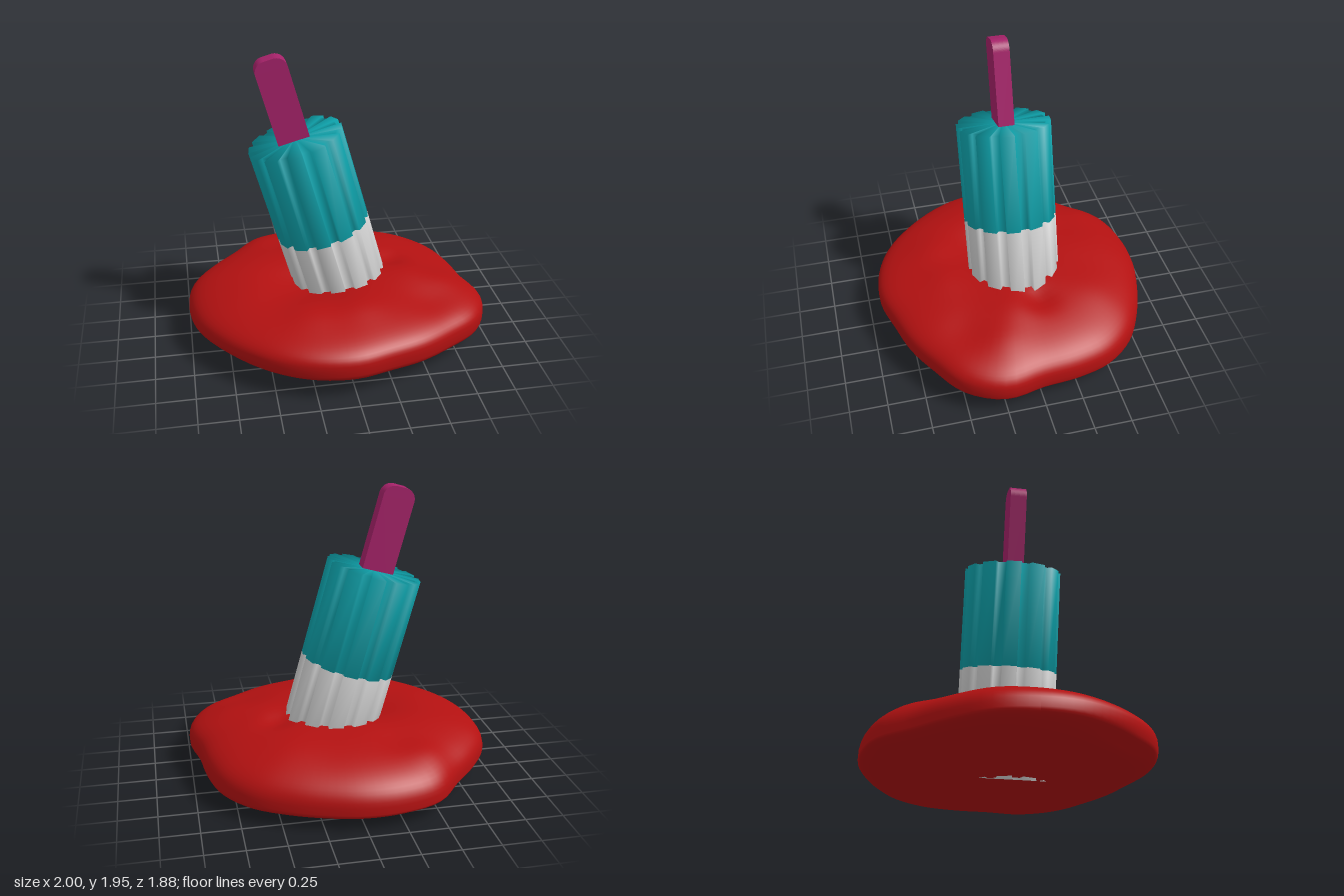
import * as THREE from 'three';
import { mergeVertices } from 'three/addons/utils/BufferGeometryUtils.js';

const mat = (color) => new THREE.MeshStandardMaterial({ color });

function add(parent, name, geometry, color) {
  const mesh = new THREE.Mesh(geometry, mat(color));
  mesh.name = name;
  parent.add(mesh);
  return mesh;
}

// Shared vertices give soft normals across the whole surface
function soften(geometry) {
  geometry.deleteAttribute('normal');
  geometry.deleteAttribute('uv');
  const merged = mergeVertices(geometry, 1e-4);
  merged.computeVertexNormals();
  return merged;
}

// Puddle outline: radius every 15 degrees, from +x towards +z
const OUTLINE = [0.95, 1.035, 1.03, 0.955, 0.92, 0.9, 0.93, 0.94, 0.94, 0.935, 0.95, 0.98,
  1.0, 1.01, 0.965, 0.94, 0.985, 0.965, 0.94, 0.92, 0.93, 0.96, 0.97, 0.95];

function outlineRadius(angle) {
  const n = OUTLINE.length;
  const t = ((angle / (2 * Math.PI)) * n + n) % n;
  const i = Math.floor(t), f = t - i;
  const [a, b, c, d] = [-1, 0, 1, 2].map((k) => OUTLINE[(i + k + n) % n]);
  return b + 0.5 * f * (c - a + f * (2 * a - 5 * b + 4 * c - d + f * (3 * (b - c) + d - a)));
}

// Soft lumps and hollows of the upper side: x, z, width, height
const LUMPS = [
  [-0.2, 0.1, 0.28, -0.08], [0.42, -0.1, 0.1, -0.035], [0.5, 0.1, 0.15, 0.02],
  [-0.25, 0.52, 0.17, 0.025], [0.1, 0.5, 0.15, 0.02], [0.42, -0.5, 0.2, 0.02],
  [-0.5, -0.65, 0.15, 0.03], [-0.3, -0.5, 0.15, -0.02], [0.6, 0.45, 0.15, -0.025],
  [0.72, 0.2, 0.14, 0.02], [-0.6, 0.2, 0.2, 0.01],
];

function puddleGeometry() {
  const geo = new THREE.SphereGeometry(1, 96, 48);
  const pos = geo.attributes.position;
  for (let i = 0; i < pos.count; i++) {
    const h = pos.getY(i);
    const s = Math.hypot(pos.getX(i), pos.getZ(i));
    const angle = Math.atan2(pos.getZ(i), pos.getX(i));
    // Groove under the rim on one front corner
    const away = angle - 2.4;
    const groove = 0.05 * Math.exp(-(away * away) / 0.2 - ((h + 0.3) / 0.18) ** 2);
    const r = s * outlineRadius(angle) * (1 - groove);
    const x = r * Math.cos(angle), z = r * Math.sin(angle);
    const rim = 0.175 + 0.06 * z;
    let y;
    if (h >= 0) {
      y = rim + (0.445 - rim) * Math.pow(h, 0.72);
      for (const [lx, lz, w, a] of LUMPS) {
        y += a * h * Math.exp(-((x - lx) ** 2 + (z - lz) ** 2) / (w * w));
      }
    } else {
      // The underside curves up more gently towards the back right
      const power = 0.52 + 0.35 * THREE.MathUtils.clamp(-(x + z) / 1.2, 0, 1);
      const floor = 0.036 + 0.014 * z + 0.008 * Math.sin(5 * x + 2 * z);
      y = rim + (floor - rim) * Math.pow(-h, power);
    }
    pos.setXYZ(i, x, y, z);
  }
  return soften(geo);
}

// Ridged bar: twelve square ridges around a round core
const RIDGES = 12, OUTER = 0.317, INNER = 0.282;
function ridgedGeometry(length) {
  const geo = new THREE.CylinderGeometry(OUTER, OUTER, length, RIDGES * 4, 1);
  const pos = geo.attributes.position;
  const pitch = (2 * Math.PI) / RIDGES;
  for (let i = 0; i < pos.count; i++) {
    const r = Math.hypot(pos.getX(i), pos.getZ(i));
    if (r < 0.01) continue;
    const step = Math.round(Math.atan2(pos.getZ(i), pos.getX(i)) / (pitch / 4));
    const corner = ((step % 4) + 4) % 4; // 0,1 on the ridge; 2,3 in the valley
    const ridge = Math.floor(step / 4);
    const a = ridge * pitch + 0.14 + [-0.15, 0.15, 0.17, 0.354][corner];
    const radius = corner < 2 ? OUTER : INNER;
    pos.setX(i, radius * Math.cos(a));
    pos.setZ(i, radius * Math.sin(a));
  }
  return soften(geo);
}

// Flat stick with a rounded tip
function stickGeometry(width, bottom, top, depth) {
  const w = width / 2, r = 0.075;
  const shape = new THREE.Shape();
  shape.moveTo(-w, bottom);
  shape.lineTo(w, bottom);
  shape.lineTo(w, top - r);
  shape.absarc(w - r, top - r, r, 0, Math.PI / 2);
  shape.absarc(-w + r, top - r, r, Math.PI / 2, Math.PI);
  shape.closePath();
  const geo = new THREE.ExtrudeGeometry(shape, { depth, bevelEnabled: false, curveSegments: 8 });
  return geo.translate(0, 0, -depth / 2);
}

export function createModel() {
  const model = new THREE.Group();
  model.name = 'meltingIcePop';

  add(model, 'meltedPuddle', puddleGeometry(), 0xb31111);

  // Leaning pop, built upright from its lower end
  const pop = new THREE.Group();
  pop.name = 'icePop';
  pop.position.set(0.118, 0.095, -0.017);
  pop.rotation.z = 0.272;
  model.add(pop);

  const lower = 0.695, upper = 0.67;
  add(pop, 'lowerBar', ridgedGeometry(lower), 0xcccccc).position.y = lower / 2;
  add(pop, 'upperBar', ridgedGeometry(upper), 0x0ea0a9).position.y = lower + upper / 2;
  const stick = add(pop, 'stick', stickGeometry(0.212, 1.2, 1.933, 0.108), 0xa52269);
  stick.position.set(-0.012, 0, -0.002);

  return model;
}
